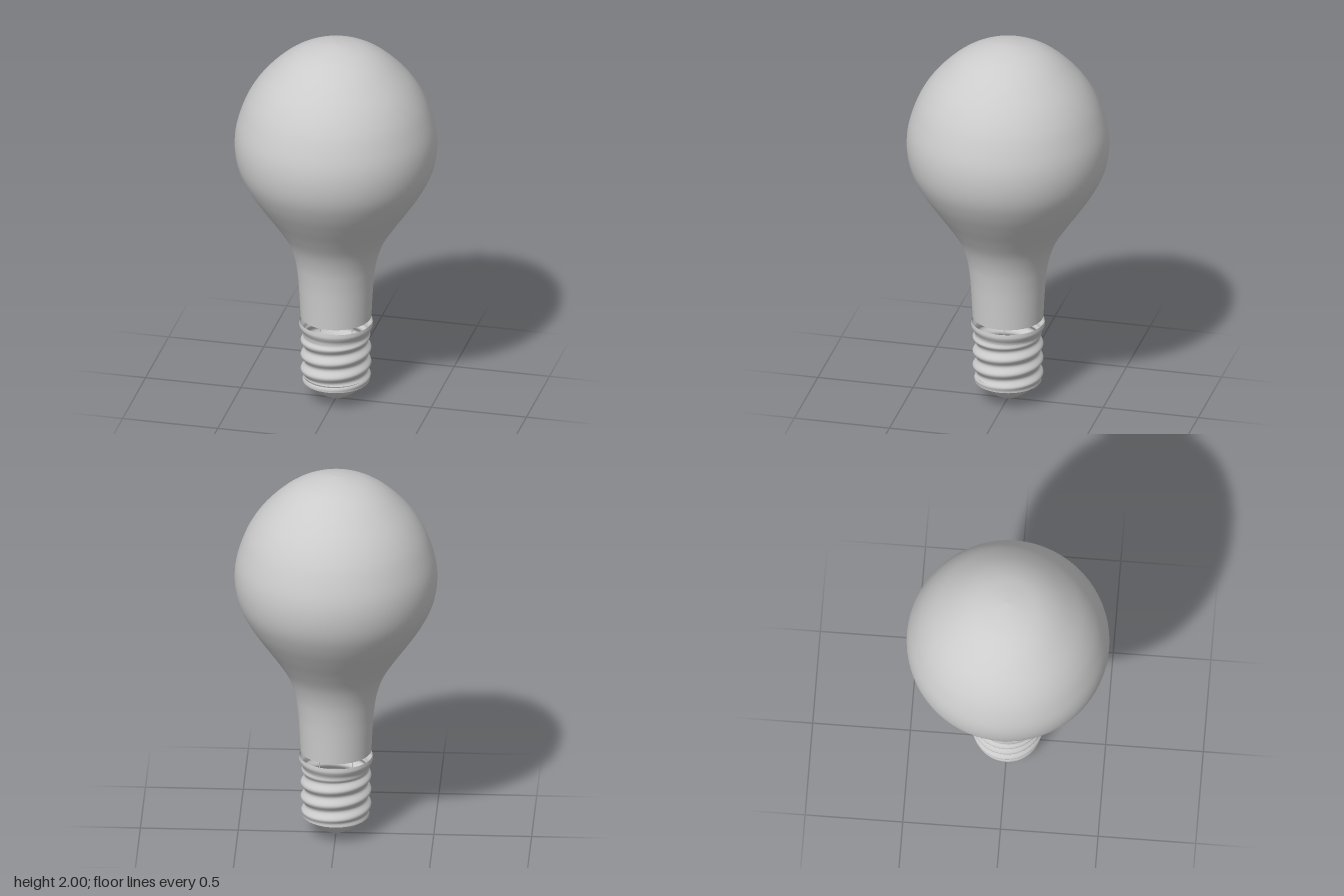
import * as THREE from 'three';
import { mergeVertices } from 'three/addons/utils/BufferGeometryUtils.js';

const material = new THREE.MeshStandardMaterial({ color: 0xcccccc, side: THREE.DoubleSide });
const SEGMENTS = 72;

function addMesh(parent, name, geometry) {
  const mesh = new THREE.Mesh(geometry, material);
  mesh.name = name;
  parent.add(mesh);
  return mesh;
}

// Smooth profile through [radius, height] pairs, listed from the bottom up
function smoothProfile(pairs, count) {
  const points = pairs.map(([r, y]) => new THREE.Vector2(r, y));
  return new THREE.SplineCurve(points).getPoints(count)
    .map((p) => new THREE.Vector2(Math.max(p.x, 0), p.y));
}

function lathe(pairs, count) {
  return new THREE.LatheGeometry(smoothProfile(pairs, count), SEGMENTS);
}

// Tube whose wall ripples along a right-handed helix, fading out at both ends
function threadGeometry(bottom, top, radius, depth, pitch) {
  const rows = 70;
  const profile = Array.from({ length: rows + 1 }, (_, i) =>
    new THREE.Vector2(radius, bottom + (top - bottom) * i / rows));
  let geometry = new THREE.LatheGeometry(profile, SEGMENTS);
  const pos = geometry.attributes.position;
  for (let i = 0; i < pos.count; i++) {
    const x = pos.getX(i), y = pos.getY(i), z = pos.getZ(i);
    const turn = (Math.atan2(x, z) + Math.PI / 2) / (2 * Math.PI);
    const wave = Math.cos(2 * Math.PI * ((y - 0.165) / pitch - turn));
    const fade = THREE.MathUtils.smoothstep(y, bottom, bottom + 0.04)
      * (1 - THREE.MathUtils.smoothstep(y, top - 0.03, top));
    const scale = (radius + depth * wave * fade) / radius;
    pos.setXYZ(i, x * scale, y, z * scale);
  }
  // Weld the seam so the shading stays smooth all round
  geometry.deleteAttribute('uv');
  geometry.deleteAttribute('normal');
  geometry = mergeVertices(geometry, 1e-5);
  geometry.computeVertexNormals();
  return geometry;
}

function wire(points, radius, segments) {
  const curve = new THREE.CatmullRomCurve3(points);
  return new THREE.TubeGeometry(curve, segments, radius, 6);
}

export function createModel() {
  const model = new THREE.Group();
  model.name = 'lightBulb';

  // Pear-shaped glass, open at the neck
  addMesh(model, 'glassBulb', lathe([
    [0.181, 0.465], [0.188, 0.6], [0.196, 0.7], [0.213, 0.8], [0.25, 0.9],
    [0.312, 1.0], [0.382, 1.1], [0.447, 1.2], [0.495, 1.3], [0.516, 1.4],
    [0.514, 1.5], [0.489, 1.6], [0.447, 1.7], [0.379, 1.8], [0.277, 1.9],
    [0.18, 1.96], [0.08, 1.99], [0, 2.0],
  ], 90));

  // Screw base: collar, thread, tapered shoulder and contact tip
  const base = new THREE.Group();
  base.name = 'screwBase';
  model.add(base);
  addMesh(base, 'collar', lathe([
    [0.17, 0.365], [0.173, 0.385], [0.184, 0.405], [0.189, 0.42], [0.187, 0.44],
  ], 16));
  addMesh(base, 'thread', threadGeometry(0.105, 0.375, 0.171, 0.01, 0.08));
  addMesh(base, 'shoulder', lathe([
    [0.1, 0.05], [0.13, 0.075], [0.152, 0.1], [0.16, 0.115], [0.171, 0.14],
  ], 16));
  addMesh(base, 'contactTip', lathe([
    [0, 0], [0.025, 0.006], [0.06, 0.024], [0.1, 0.05],
  ], 12));

  // Lead wires bridge the gap and carry a coiled filament
  const leads = [-1, 1];
  for (const side of leads) {
    addMesh(model, side > 0 ? 'leftLeadWire' : 'rightLeadWire', wire([
      new THREE.Vector3(side * 0.085, 0.36, 0),
      new THREE.Vector3(side * 0.085, 0.8, 0),
      new THREE.Vector3(side * 0.11, 1.1, 0),
      new THREE.Vector3(side * 0.16, 1.35, 0),
    ], 0.003, 24));
  }
  const coil = Array.from({ length: 161 }, (_, i) => {
    const t = i / 160, a = t * Math.PI * 40;
    return new THREE.Vector3(-0.16 + 0.32 * t, 1.35 + 0.01 * Math.sin(a), 0.01 * (1 - Math.cos(a)));
  });
  addMesh(model, 'filament', wire(coil, 0.002, 480));

  return model;
}
